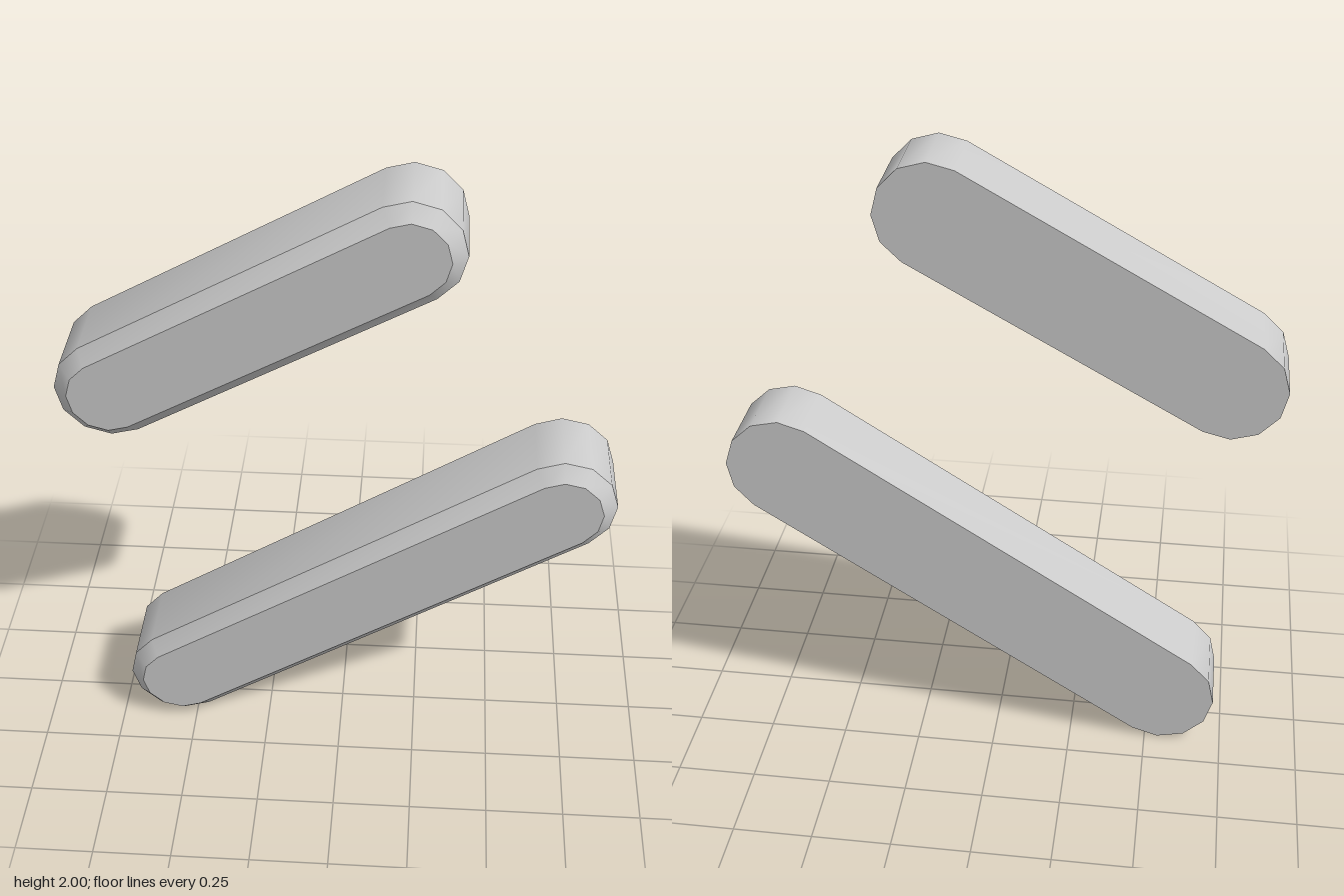
import * as THREE from 'three';
import { toCreasedNormals } from 'three/addons/utils/BufferGeometryUtils.js';

const HALF_DEPTH = 0.14;
const BEVEL = 0.045;
const SEGMENTS = 6; // per rounded end

// Counter-clockwise capsule outline around the segment from a to b
function capsuleOutline(a, b, radius) {
  const angle = Math.atan2(b[1] - a[1], b[0] - a[0]);
  const points = [];
  [[b, angle - Math.PI / 2], [a, angle + Math.PI / 2]].forEach(([centre, start]) => {
    for (let i = 0; i <= SEGMENTS; i++) {
      const t = start + (Math.PI * i) / SEGMENTS;
      points.push([centre[0] + radius * Math.cos(t), centre[1] + radius * Math.sin(t)]);
    }
  });
  return points;
}

// Slanted bar with round ends: flat back, chamfered front edge
function makeBar(name, a, b, radius, material) {
  const rings = [
    [radius, -HALF_DEPTH],
    [radius, HALF_DEPTH - BEVEL],
    [radius - BEVEL, HALF_DEPTH],
  ];
  const positions = [];
  const index = [];
  const n = 2 * (SEGMENTS + 1);
  rings.forEach(([r, z]) => capsuleOutline(a, b, r).forEach(([x, y]) => positions.push(x, y, z)));

  // Side wall and chamfer
  for (let k = 0; k < rings.length - 1; k++) {
    for (let i = 0; i < n; i++) {
      const p = k * n + i;
      const q = k * n + ((i + 1) % n);
      index.push(p, q, q + n, p, q + n, p + n);
    }
  }
  // Back and front faces
  const front = (rings.length - 1) * n;
  for (let i = 1; i < n - 1; i++) {
    index.push(0, i + 1, i);
    index.push(front, front + i, front + i + 1);
  }

  const geometry = new THREE.BufferGeometry();
  geometry.setAttribute('position', new THREE.Float32BufferAttribute(positions, 3));
  geometry.setIndex(index);
  const mesh = new THREE.Mesh(toCreasedNormals(geometry, 0.6), material);
  mesh.name = name;
  return mesh;
}

export function createModel() {
  const group = new THREE.Group();
  group.name = 'slantedBars';
  const material = new THREE.MeshStandardMaterial({ color: 0xcccccc });
  group.add(makeBar('upperBar', [-0.7, 1.338], [0.194, 1.836], 0.164, material));
  group.add(makeBar('lowerBar', [-0.55, 0.17], [0.69, 0.958], 0.169, material));
  return group;
}
